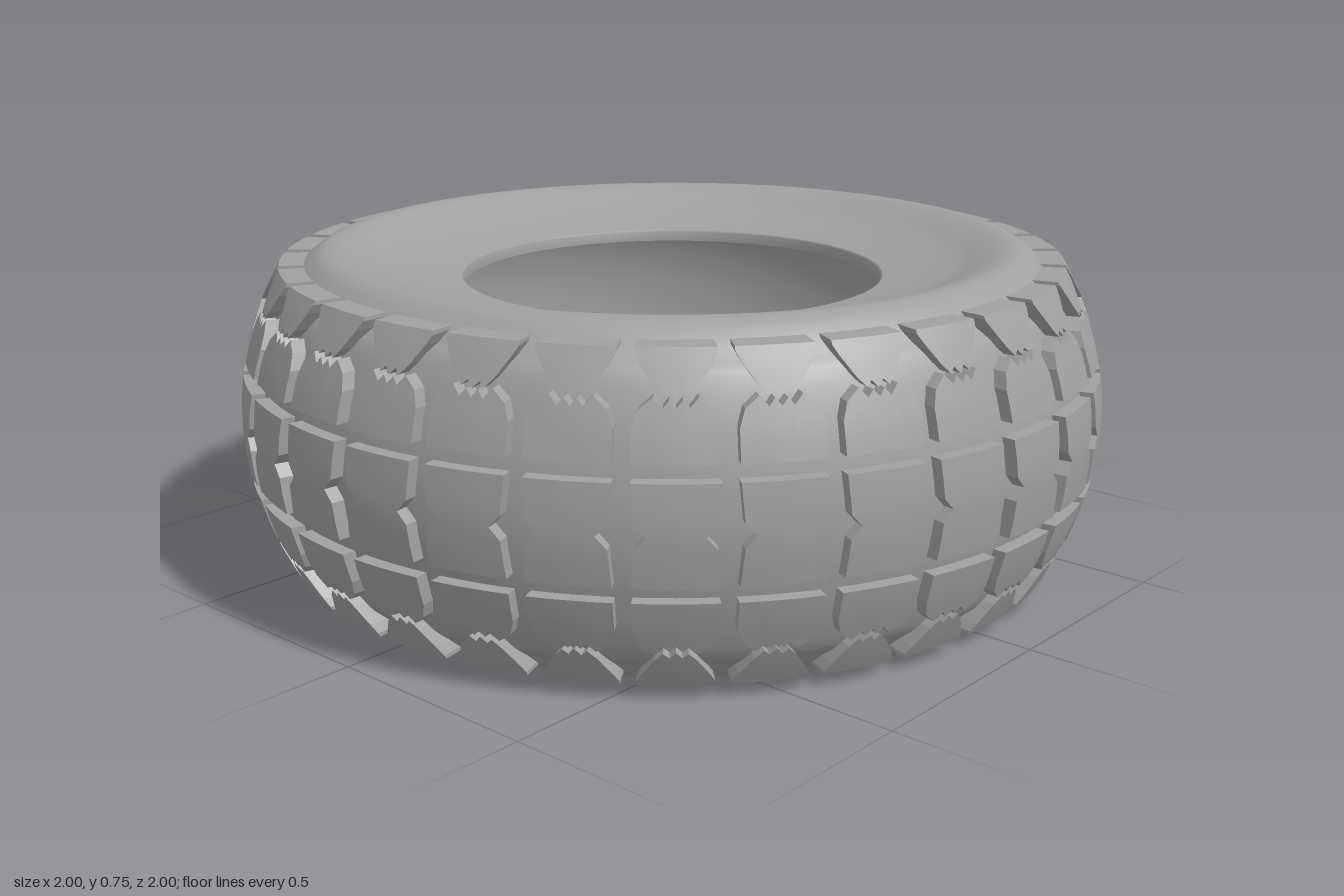
import * as THREE from 'three';
import { mergeGeometries } from 'three/addons/utils/BufferGeometryUtils.js';

const MID = 0.3725;        // half the tyre's height
const COUNT = 30;          // tread blocks around
const treadRadius = d => 1 - 0.85 * d * d;

// Piecewise-linear lookup through [x, y] pairs
function lerpAt(pairs, x) {
  for (let i = 1; i < pairs.length; i++) {
    const [x0, y0] = pairs[i - 1], [x1, y1] = pairs[i];
    if (x <= x1) return y0 + (y1 - y0) * (x - x0) / (x1 - x0);
  }
  return pairs[pairs.length - 1][1];
}

// One raised block wrapped on the crown: side is +1 upper half, -1 lower half.
// width: half-angle by v; low and high: edge heights from the mid line by |u|.
function blockGeometry({ us, vs, width, low, high, depth }, side) {
  const point = (u, v, drop) => {
    const a = side * u * lerpAt(width, v);
    const lo = lerpAt(low, Math.abs(u)), hi = lerpAt(high, Math.abs(u));
    const d = lo + (hi - lo) * v, r = treadRadius(d) - drop;
    return [r * Math.sin(a), MID + side * d, r * Math.cos(a)];
  };
  const build = (positions, index) => {
    const g = new THREE.BufferGeometry();
    g.setAttribute('position', new THREE.Float32BufferAttribute(positions.flat(), 3));
    g.setIndex(index);
    g.computeVertexNormals();
    return g.toNonIndexed();
  };
  // Smooth outer face
  const top = [], topIndex = [], n = us.length, m = vs.length;
  for (const v of vs) for (const u of us) top.push(point(u, v, 0));
  for (let j = 0; j < m - 1; j++) for (let i = 0; i < n - 1; i++) {
    const a = j * n + i, b = a + 1, c = b + n, e = a + n;
    topIndex.push(a, b, c, a, c, e);
  }
  // Crisp side walls following the border
  const rim = [];
  for (let i = 0; i < n - 1; i++) rim.push([us[i], vs[0]]);
  for (let j = 0; j < m - 1; j++) rim.push([us[n - 1], vs[j]]);
  for (let i = n - 1; i > 0; i--) rim.push([us[i], vs[m - 1]]);
  for (let j = m - 1; j > 0; j--) rim.push([us[0], vs[j]]);
  const wall = [], wallIndex = [];
  rim.forEach((p, i) => {
    const q = rim[(i + 1) % rim.length], k = wall.length;
    wall.push(point(...p, 0), point(...p, depth), point(...q, depth), point(...q, 0));
    wallIndex.push(k, k + 1, k + 2, k, k + 2, k + 3);
  });
  return mergeGeometries([build(top, topIndex), build(wall, wallIndex)]);
}

// Repeat a block all the way round
function ring(spec, side) {
  const block = blockGeometry(spec, side), copies = [];
  for (let i = 0; i < COUNT; i++) copies.push(block.clone().rotateY(i * 2 * Math.PI / COUNT));
  return mergeGeometries(copies);
}

export function createModel() {
  const tyre = new THREE.Group();
  tyre.name = 'tyre';
  const rubber = new THREE.MeshStandardMaterial({ color: 0xa0a0a0 });
  rubber.name = 'grey rubber';
  const add = (name, geometry) => {
    const mesh = new THREE.Mesh(geometry, rubber);
    mesh.name = name;
    tyre.add(mesh);
  };
  const revolve = (name, points) => add(name, new THREE.LatheGeometry(points, 120));
  const mirrored = half => [
    ...half.map(([r, d]) => new THREE.Vector2(r, MID - d)),
    ...half.slice(0, -1).reverse().map(([r, d]) => new THREE.Vector2(r, MID + d)),
  ];

  // Carcass: dished sidewalls, rounded shoulders and bulging crown
  const outer = mirrored([
    [0.49, 0.297], [0.58, 0.314], [0.66, 0.334], [0.71, 0.354], [0.75, 0.368], [0.78, 0.3725],
    [0.81, 0.366], [0.843, 0.343], [0.873, 0.313], [0.903, 0.28], [0.936, 0.2], [0.961, 0.1], [0.97, 0],
  ]);
  revolve('carcass', new THREE.SplineCurve(outer).getPoints(96));

  // Hollow inner lining
  const liner = mirrored([
    [0.485, 0.27], [0.58, 0.285], [0.68, 0.3], [0.77, 0.29], [0.84, 0.22], [0.875, 0.12], [0.885, 0],
  ]).reverse();
  revolve('innerLining', new THREE.SplineCurve(liner).getPoints(48));

  // Bead lips around both openings
  for (const [name, s] of [['upperBead', 1], ['lowerBead', -1]]) {
    const lip = [[0.49, 0.297], [0.485, 0.293], [0.485, 0.27]]
      .map(([r, d]) => new THREE.Vector2(r, MID + s * d));
    revolve(name, s > 0 ? lip : lip.reverse());
  }

  const W = 0.087;
  // Centre blocks with a V notch in each side
  const centre = {
    us: [-1, -0.5, 0, 0.5, 1],
    vs: [0, 0.2, 0.38, 0.5, 0.62, 0.8, 1],
    width: [[0, W], [0.38, W - 0.007], [0.5, W - 0.03], [0.62, W - 0.007], [1, W]],
    low: [[0, -0.104], [1, -0.104]],
    high: [[0, 0.104], [1, 0.104]],
    depth: 0.05,
  };
  add('centreBlocks', ring(centre, 1));

  // Intermediate blocks with a zigzag outer edge and tapered corners
  const intermediate = {
    us: [-1, -0.6, -0.35, -0.18, 0, 0.18, 0.35, 0.6, 1],
    vs: [0, 0.33, 0.66, 1],
    width: [[0, W], [0.66, W], [1, W - 0.012]],
    low: [[0, 0.137], [1, 0.137]],
    high: [[0, 0.238], [0.18, 0.252], [0.35, 0.238], [0.6, 0.257], [1, 0.235]],
    depth: 0.05,
  };
  // Shoulder blocks tapering to a zigzag point
  const shoulder = {
    us: intermediate.us,
    vs: [0, 0.35, 0.7, 1],
    width: [[0, W - 0.012], [0.7, W], [1, W]],
    low: [[0, 0.254], [0.18, 0.268], [0.35, 0.257], [0.6, 0.275], [1, 0.315]],
    high: [[0, 0.3425], [1, 0.3425]],
    depth: 0.07,
  };
  for (const [label, side] of [['upper', 1], ['lower', -1]]) {
    add(label + 'IntermediateBlocks', ring(intermediate, side));
    add(label + 'ShoulderBlocks', ring(shoulder, side));
  }
  return tyre;
}
